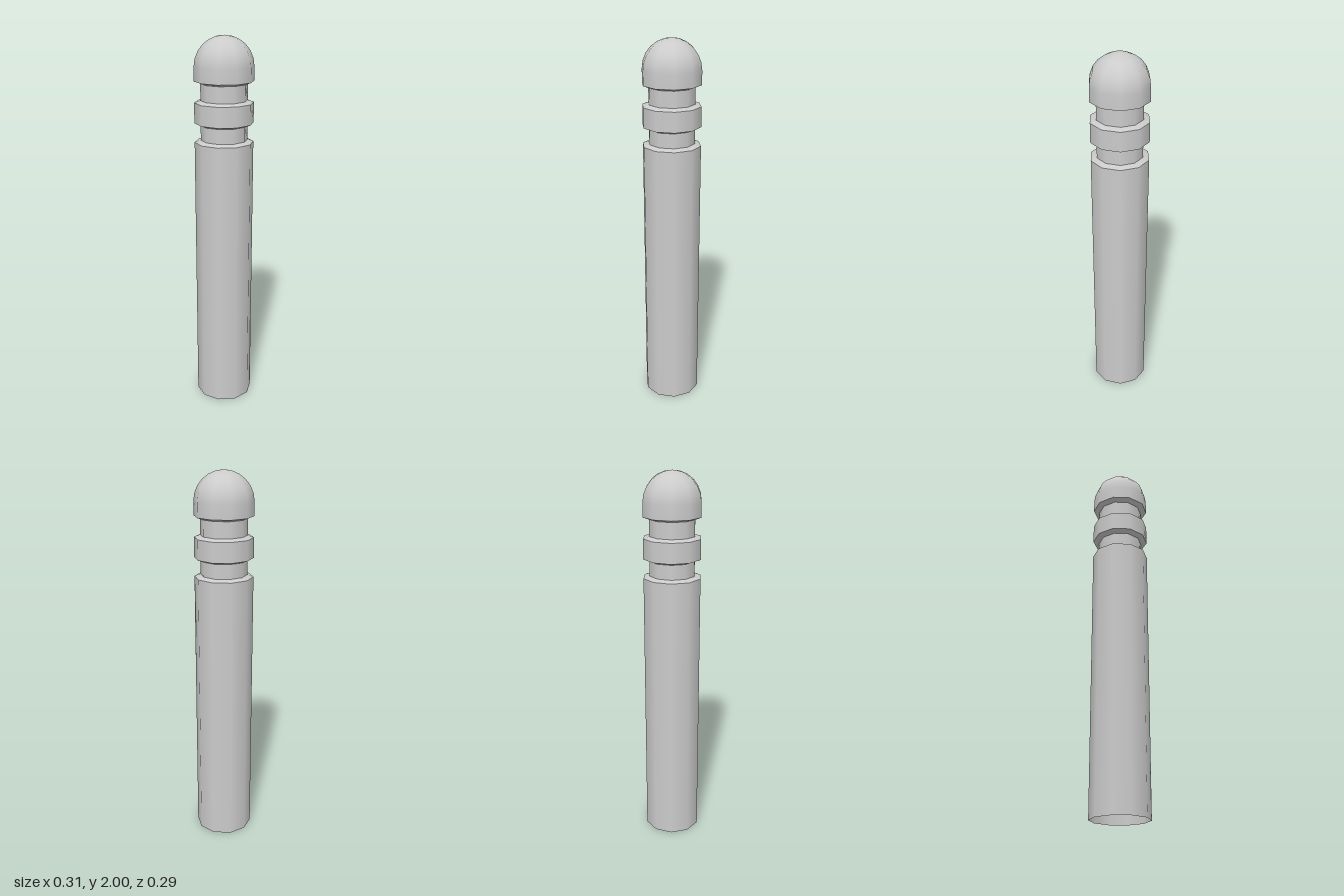
import * as THREE from 'three';

const SIDES = 10;
const R = 0.153;      // shaft, collar and cap radius
const NECK = 0.121;   // groove radius

export function createModel() {
  const group = new THREE.Group();
  group.name = 'bollard';
  const material = new THREE.MeshStandardMaterial({ color: 0xcccccc, side: THREE.DoubleSide });

  // One smooth band turned around y, with corners on the x axis
  function band(name, points) {
    const profile = points.map(([r, y]) => new THREE.Vector2(r, y));
    const mesh = new THREE.Mesh(new THREE.LatheGeometry(profile, SIDES, Math.PI / 2), material);
    mesh.name = name;
    group.add(mesh);
  }

  // Shaft, open at the foot, then two grooves with sloping ledges around a collar
  band('shaft', [[R, 0], [R, 1.466]]);
  band('shaftLedge', [[R, 1.466], [NECK, 1.477]]);
  band('lowerNeck', [[NECK, 1.477], [NECK, 1.553]]);
  band('collarUnderside', [[NECK, 1.553], [R, 1.565]]);
  band('collar', [[R, 1.565], [R, 1.669]]);
  band('collarLedge', [[R, 1.669], [NECK, 1.68]]);
  band('upperNeck', [[NECK, 1.68], [NECK, 1.764]]);
  band('capUnderside', [[NECK, 1.764], [R, 1.776]]);

  // Rounded cap: short straight wall running into a dome
  const cap = [[R, 1.776]];
  const steps = 6;
  for (let i = 0; i <= steps; i++) {
    const a = (i / steps) * Math.PI / 2;
    cap.push([i === steps ? 0 : R * Math.cos(a), 2 - R + R * Math.sin(a)]);
  }
  band('cap', cap);

  return group;
}
